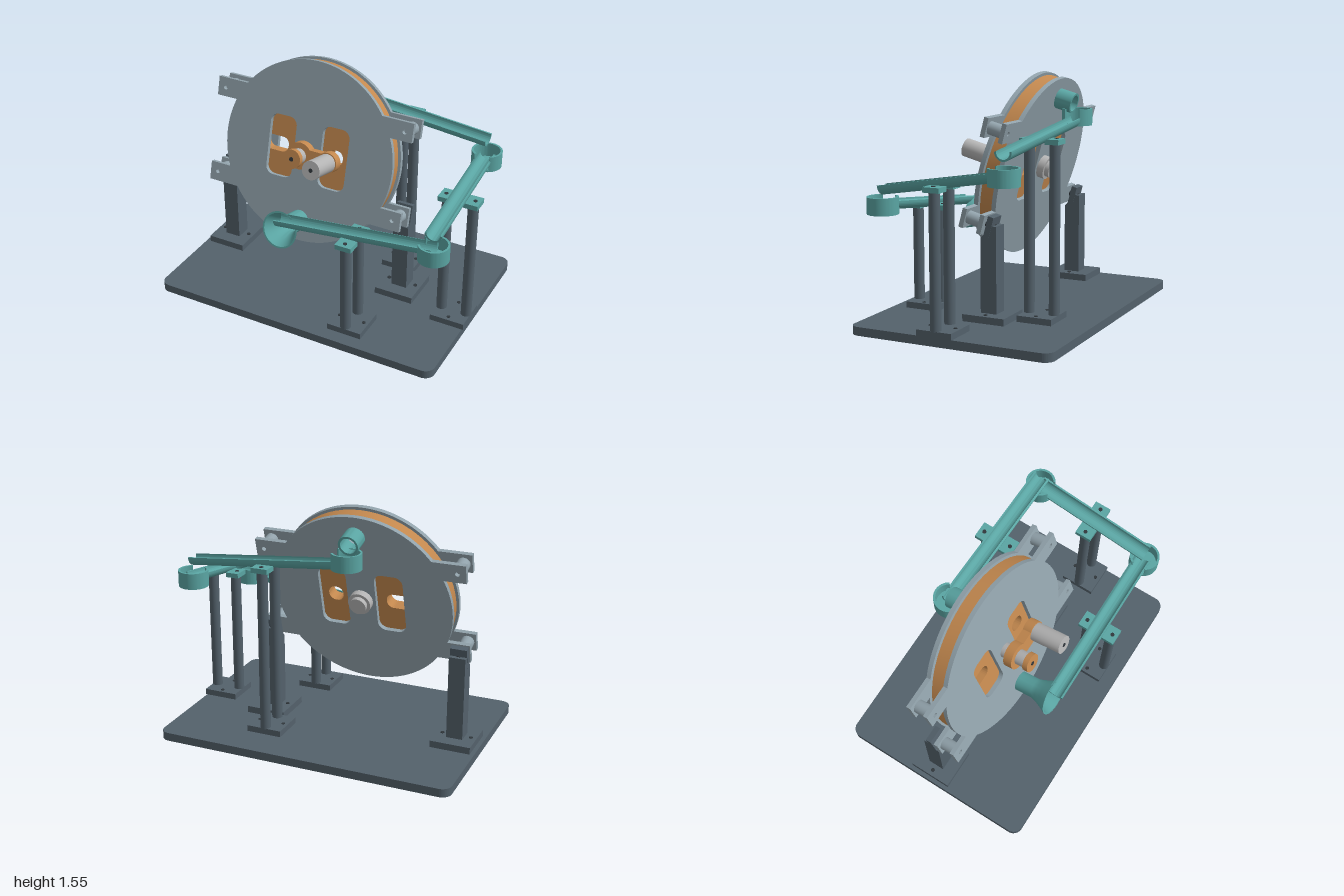
import * as THREE from 'three';
import { toCreasedNormals } from 'three/addons/utils/BufferGeometryUtils.js';

const mat = (color) => new THREE.MeshStandardMaterial({ color, side: THREE.DoubleSide });
const SLATE = mat(0x53616b), PLATE = mat(0x92a3ac), ORANGE = mat(0xc4894f);
const TEAL = mat(0x5aa5a3), METAL = mat(0xb4b4b4), DARK = mat(0x30363b);

function add(parent, name, geometry, material, x = 0, y = 0, z = 0) {
  const mesh = new THREE.Mesh(geometry, material);
  mesh.name = name;
  mesh.position.set(x, y, z);
  parent.add(mesh);
  return mesh;
}
const box = (w, h, d) => new THREE.BoxGeometry(w, h, d);
const cyl = (r, h, seg = 40) => new THREE.CylinderGeometry(r, r, h, seg);
const extrude = (shape, depth) => toCreasedNormals(
  new THREE.ExtrudeGeometry(shape, { depth, bevelEnabled: false, curveSegments: 32 }), 0.5);

// cylinder along z, spanning z0..z1
function rod(parent, name, r, z0, z1, material, x = 0, y = 0) {
  return add(parent, name, cyl(r, z1 - z0).rotateX(Math.PI / 2), material, x, y, (z0 + z1) / 2);
}
function roundRect(path, x, y, w, h, r) {
  const a = w / 2 - r, b = h / 2 - r;
  path.absarc(x + a, y + b, r, 0, Math.PI / 2);
  path.absarc(x - a, y + b, r, Math.PI / 2, Math.PI);
  path.absarc(x - a, y - b, r, Math.PI, Math.PI * 1.5);
  path.absarc(x + a, y - b, r, Math.PI * 1.5, Math.PI * 2);
  path.closePath();
  return path;
}
const circleHole = (x, y, r) => new THREE.Path().absarc(x, y, r, 0, Math.PI * 2);

// disc outline with four square ears
function plateShape(portY) {
  const s = new THREE.Shape(), R = 0.6, E = 0.7, v0 = 0.23, v1 = 0.355;
  const a0 = Math.asin(v0 / R), a1 = Math.asin(v1 / R);
  s.absarc(0, 0, R, -a0, a0);
  s.lineTo(E, v0); s.lineTo(E, v1);
  s.absarc(0, 0, R, a1, Math.PI - a1);
  s.lineTo(-E, v1); s.lineTo(-E, v0);
  s.absarc(0, 0, R, Math.PI - a0, Math.PI + a0);
  s.lineTo(-E, -v0); s.lineTo(-E, -v1);
  s.absarc(0, 0, R, Math.PI + a1, 2 * Math.PI - a1);
  s.lineTo(E, -v1); s.lineTo(E, -v0);
  s.closePath();
  for (const sx of [-1, 1]) {
    s.holes.push(roundRect(new THREE.Path(), sx * 0.19, 0, 0.19, 0.41, 0.055));
    for (const sy of [-1, 1]) s.holes.push(circleHole(sx * 0.645, sy * 0.29, 0.015));
  }
  s.holes.push(circleHole(0, portY, 0.052));
  return s;
}

// tilted lift wheel between two plates, with crank, motor and ports
function makeWheelUnit() {
  const g = new THREE.Group();
  g.name = 'wheelUnit';
  g.position.set(-0.195, 0.952, 0);
  g.rotation.x = -Math.PI / 12;
  add(g, 'frontPlate', extrude(plateShape(-0.46), 0.03), PLATE, 0, 0, 0.048);
  add(g, 'rearPlate', extrude(plateShape(0.465), 0.03), PLATE, 0, 0, -0.078);

  const wheel = new THREE.Shape().absarc(0, 0, 0.585, 0, Math.PI * 2);
  wheel.holes.push(roundRect(new THREE.Path(), -0.245, 0, 0.18, 0.1, 0.045));
  wheel.holes.push(roundRect(new THREE.Path(), 0.19, 0, 0.1, 0.1, 0.045));
  add(g, 'liftWheel', extrude(wheel, 0.084), ORANGE, 0, 0, -0.042);

  for (const sx of [-1, 1]) {
    for (const sy of [-1, 1]) rod(g, 'spacer', 0.042, -0.048, 0.048, PLATE, sx * 0.645, sy * 0.29);
    add(g, 'mountClip', box(0.11, 0.135, 0.038), SLATE, sx * 0.645, -0.291, -0.119);
    rod(g, 'mountBolt', 0.018, -0.145, -0.078, DARK, sx * 0.645, -0.29);
  }

  // crank and motor on the front
  rod(g, 'shaft', 0.05, 0.04, 0.25, METAL);
  rod(g, 'crankHub', 0.088, 0.125, 0.185, ORANGE);
  rod(g, 'crankEnd', 0.068, 0.125, 0.185, ORANGE, 0.197);
  add(g, 'crankArm', box(0.197, 0.106, 0.06), ORANGE, 0.098, 0, 0.155);
  rod(g, 'hubCap', 0.062, 0.25, 0.285, ORANGE);
  rod(g, 'hubScrew', 0.014, 0.28, 0.288, DARK);
  rod(g, 'motor', 0.061, 0.185, 0.394, METAL, 0.197);
  rod(g, 'motorPin', 0.013, 0.39, 0.397, DARK, 0.197);

  // bearing on the back
  rod(g, 'bearing', 0.075, -0.125, -0.04, METAL);
  rod(g, 'bearingCap', 0.055, -0.155, -0.12, METAL);

  // inlet funnel: radius, distance along the axis
  const profile = [[0.052, 0.07], [0.052, 0.2], [0.062, 0.235], [0.082, 0.28], [0.112, 0.336],
    [0.123, 0.336], [0.095, 0.28], [0.076, 0.235], [0.066, 0.2], [0.066, 0.07]];
  const lathe = (pts) => toCreasedNormals(
    new THREE.LatheGeometry(pts.map((p) => new THREE.Vector2(...p)), 48).rotateX(Math.PI / 2), 0.6);
  add(g, 'inletFunnel', lathe(profile), TEAL, 0, -0.46, 0);
  const tube = [[0.052, -0.19], [0.066, -0.19], [0.066, -0.075], [0.052, -0.075], [0.052, -0.19]];
  add(g, 'outletTube', lathe(tube), TEAL, 0, 0.465, 0);
  return g;
}

// open U channel from a down to b (points lie on the rim line)
function makeTrough(a, b) {
  const s = new THREE.Shape(), R = 0.055, r = 0.043;
  s.moveTo(-R, 0);
  s.absarc(0, -0.006, R, Math.PI, 2 * Math.PI);
  s.lineTo(R, 0); s.lineTo(r, 0);
  s.absarc(0, -0.006, r, 2 * Math.PI, Math.PI, true);
  s.lineTo(-r, 0);
  s.closePath();
  const from = new THREE.Vector3(...a), to = new THREE.Vector3(...b);
  const mesh = new THREE.Mesh(extrude(s, from.distanceTo(to)), TEAL);
  mesh.name = 'trough';
  mesh.position.copy(from);
  mesh.lookAt(to);
  return mesh;
}

// round catch cup whose wall opens toward the outgoing trough
function makeCup(x, y, z, turn) {
  const g = new THREE.Group(), R = 0.097, r = 0.083, gap = 0.55;
  g.name = 'catchCup';
  const s = new THREE.Shape();
  s.absarc(0, 0, R, gap, 2 * Math.PI - gap);
  s.absarc(0, 0, r, 2 * Math.PI - gap, gap, true);
  s.closePath();
  add(g, 'cupWall', extrude(s, 0.105).rotateX(-Math.PI / 2), TEAL);
  add(g, 'cupFloor', cyl(R, 0.014), TEAL, 0, 0.007, 0);
  g.position.set(x, y, z);
  g.rotation.y = turn;
  return g;
}

// pair of posts carrying a trough; the pair is spread along local z
function makeSupport(x, z, top, turn) {
  const g = new THREE.Group();
  g.name = 'troughSupport';
  add(g, 'supportFoot', box(0.235, 0.04, 0.23), SLATE, 0, 0.075, 0);
  for (const s of [-1, 1]) {
    add(g, 'post', cyl(0.034, top - 0.09), SLATE, 0, (top + 0.09) / 2, s * 0.085);
    add(g, 'flange', box(0.11, 0.032, 0.09), TEAL, 0, top + 0.016, s * 0.085);
    add(g, 'flangeScrew', cyl(0.013, 0.006, 16), DARK, 0, top + 0.032, s * 0.095);
    add(g, 'footScrew', cyl(0.012, 0.006, 16), DARK, s * 0.085, 0.095, 0);
  }
  g.position.set(x, 0, z);
  g.rotation.y = turn;
  return g;
}

export function createModel() {
  const model = new THREE.Group();
  const supports = [[0.335, -0.322, 1.152, 0], [0.87, 0.076, 0.917, Math.PI / 2], [0.335, 0.467, 0.697, 0]];
  const standX = [-0.84, 0.45];

  // base board with screw holes
  const board = roundRect(new THREE.Shape(), -0.012, 0, 1.976, 1.345, 0.065);
  for (const [x, z, , turn] of supports) for (const s of [-1, 1]) {
    board.holes.push(turn ? circleHole(x, -z + s * 0.085, 0.012) : circleHole(x + s * 0.085, -z, 0.012));
  }
  for (const x of standX) for (const s of [-1, 1]) board.holes.push(circleHole(x + s * 0.095, 0.04, 0.012));
  add(model, 'baseBoard', extrude(board, 0.055).rotateX(-Math.PI / 2), SLATE);

  // stands for the wheel unit, tops cut to the tilt
  for (const x of standX) {
    add(model, 'standFoot', box(0.265, 0.045, 0.285), SLATE, x, 0.077, -0.04);
    const side = new THREE.Shape([[-0.015, 0.09], [0.093, 0.09], [0.093, 0.648], [0.06, 0.648], [-0.015, 0.57]]
      .map((p) => new THREE.Vector2(...p)));
    add(model, 'standPost', extrude(side, 0.107).rotateY(Math.PI / 2), SLATE, x - 0.0535);
    for (const s of [-1, 1]) add(model, 'standScrew', cyl(0.013, 0.006, 16), DARK, x + s * 0.095, 0.1, -0.04);
  }

  model.add(makeWheelUnit());

  // marble run: three troughs stepping down around the right side
  model.add(makeCup(-0.195, 1.215, -0.325, 0));
  model.add(makeTrough([-0.195, 1.272, -0.325], [0.875, 1.166, -0.325]));
  model.add(makeCup(0.87, 0.967, -0.33, -Math.PI / 2));
  model.add(makeTrough([0.87, 1.052, -0.33], [0.87, 0.922, 0.485]));
  model.add(makeCup(0.875, 0.746, 0.476, Math.PI));
  model.add(makeTrough([0.875, 0.832, 0.468], [-0.2, 0.702, 0.456]));
  for (const s of supports) model.add(makeSupport(...s));
  return model;
}
